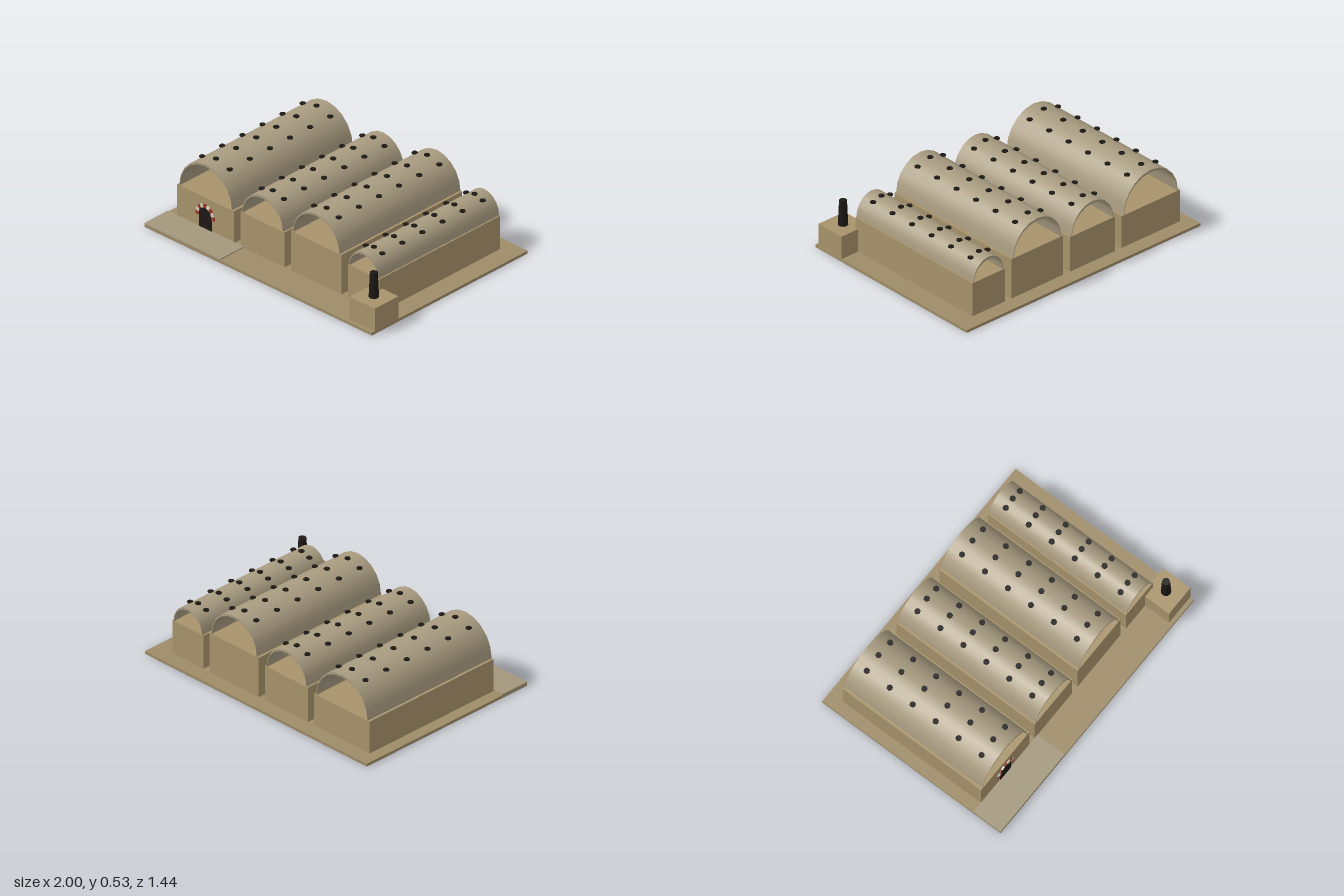
import * as THREE from 'three';
import { toCreasedNormals } from 'three/addons/utils/BufferGeometryUtils.js';

const mat = (color, extra = {}) => new THREE.MeshStandardMaterial({ color, ...extra });
const wallMat = mat(0xa8946c);
const groundMat = mat(0x9e8c68);
const pathMat = mat(0xa3977c);
const vaultMat = mat(0xa89b80, { side: THREE.DoubleSide });
const darkMat = mat(0x1c1814);
const redMat = mat(0x9a3a2e);
const whiteMat = mat(0xd8d0c0);

const BACK = -0.615, FRONT = 0.5;

function add(parent, name, geometry, material, x = 0, y = 0, z = 0) {
  const mesh = new THREE.Mesh(geometry, material);
  mesh.name = name;
  mesh.position.set(x, y, z);
  parent.add(mesh);
  return mesh;
}

// Box given by its limits on each axis
function block(parent, name, material, [x0, x1], [y0, y1], [z0, z1]) {
  return add(parent, name, new THREE.BoxGeometry(x1 - x0, y1 - y0, z1 - z0), material,
    (x0 + x1) / 2, (y0 + y1) / 2, (z0 + z1) / 2);
}

// Thin open barrel shell, thickest at the crown
function vaultGeometry(halfWidth, height) {
  const n = 10, pts = [];
  const arc = (i, w, h) => {
    const a = (Math.PI * i) / n;
    return new THREE.Vector2(w * Math.cos(a), h * Math.sin(a));
  };
  for (let i = 0; i <= n; i++) pts.push(arc(i, halfWidth, height));
  for (let i = n; i >= 0; i--) pts.push(arc(i, halfWidth - 0.004, height - 0.017));
  const g = new THREE.ExtrudeGeometry(new THREE.Shape(pts), { depth: FRONT - BACK, bevelEnabled: false });
  return toCreasedNormals(g, 0.6);
}

// Hall: walls, vault and rows of round skylights
function makeHall({ name, x0, x1, wall, crown, inset, spread }) {
  const hall = new THREE.Group();
  hall.name = name;
  const cx = (x0 + x1) / 2, halfWidth = (x1 - x0) / 2 - inset, height = crown - wall;
  block(hall, 'walls', wallMat, [x0, x1], [0.005, wall], [BACK, FRONT]);
  add(hall, 'vault', vaultGeometry(halfWidth, height), vaultMat, cx, wall, BACK);

  const disc = new THREE.CylinderGeometry(0.02, 0.02, 0.008, 8);
  for (let row = 0; row < 6; row++) {
    for (const side of [-1, 0, 1]) {
      const u = (side * spread) / halfWidth;
      const y = wall + height * Math.sqrt(1 - u * u) + (side ? 0.007 : 0.002);
      add(hall, 'skylight', disc, darkMat, cx + side * spread, y, -0.523 + row * 0.1855);
    }
  }
  return hall;
}

// Arched doorway with striped arch stones
function makeDoorway() {
  const door = new THREE.Group();
  door.name = 'doorway';
  door.position.set(-0.67, 0, FRONT);
  const s = new THREE.Shape();
  s.moveTo(-0.055, 0.02);
  s.lineTo(0.055, 0.02);
  s.lineTo(0.055, 0.13);
  s.absarc(0, 0.13, 0.055, 0, Math.PI, false);
  s.closePath();
  add(door, 'doorOpening', new THREE.ExtrudeGeometry(s, { depth: 0.004, bevelEnabled: false, curveSegments: 8 }), darkMat);

  const stone = new THREE.BoxGeometry(0.025, 0.026, 0.012);
  for (let i = 0; i < 9; i++) {
    const a = (Math.PI * i) / 8;
    const m = add(door, 'archStone', stone, i % 2 ? whiteMat : redMat,
      0.068 * Math.cos(a), 0.126 + 0.068 * Math.sin(a), 0.003);
    m.rotation.z = a;
  }
  return door;
}

export function createModel() {
  const model = new THREE.Group();
  model.name = 'vaultedBathhouse';

  // Ground and paved forecourt
  block(model, 'groundSlab', groundMat, [-1, 1], [0, 0.02], [-0.72, 0.72]);
  block(model, 'forecourt', pathMat, [-1, -0.335], [0.004, 0.028], [FRONT, 0.72]);

  // Four parallel halls
  const halls = [
    { name: 'entranceHall', x0: -0.92, x1: -0.42, wall: 0.254, crown: 0.5, inset: 0.018, spread: 0.121 },
    { name: 'secondHall', x0: -0.364, x1: 0.024, wall: 0.275, crown: 0.467, inset: 0.014, spread: 0.097 },
    { name: 'tallHall', x0: 0.08, x1: 0.524, wall: 0.31, crown: 0.527, inset: 0.016, spread: 0.108 },
    { name: 'smallHall', x0: 0.58, x1: 0.858, wall: 0.264, crown: 0.407, inset: 0.01, spread: 0.072 },
  ];
  for (const h of halls) model.add(makeHall(h));
  model.add(makeDoorway());

  // Furnace house with chimney
  block(model, 'furnaceHouse', wallMat, [0.778, 1], [0.005, 0.186], [0.473, 0.692]);
  add(model, 'chimney', new THREE.CylinderGeometry(0.026, 0.034, 0.18, 10), darkMat, 0.888, 0.275, 0.583);

  return model;
}
